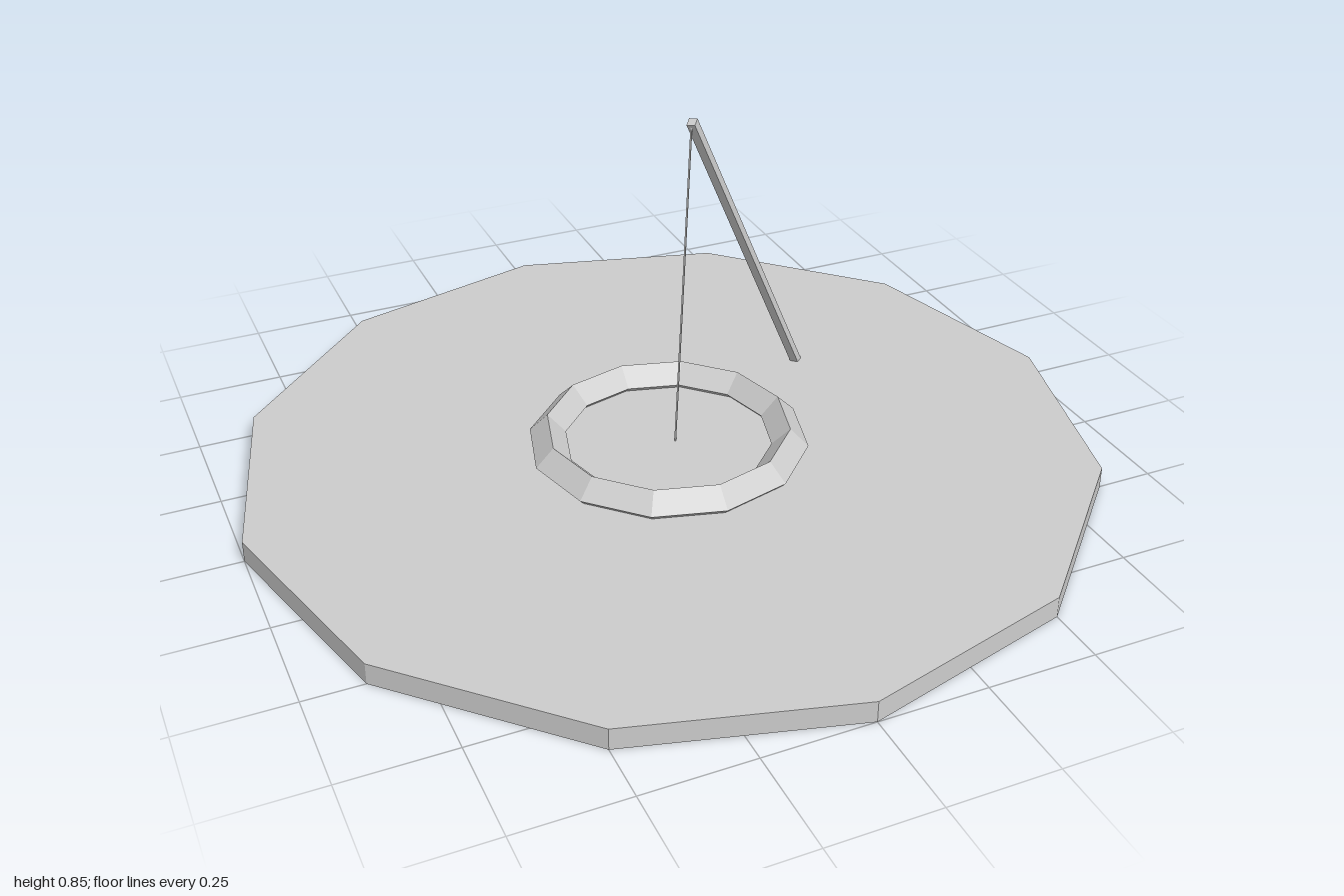
import * as THREE from 'three';

export function createModel() {
  const model = new THREE.Group();
  const grey = new THREE.MeshStandardMaterial({ color: 0xcccccc, flatShading: true });
  grey.name = 'light grey';

  const add = (name, geometry) => {
    const mesh = new THREE.Mesh(geometry, grey);
    mesh.name = name;
    model.add(mesh);
    return mesh;
  };

  // Straight bar between two points
  const bar = (name, from, to, radius, sides) => {
    const dir = to.clone().sub(from);
    const mesh = add(name, new THREE.CylinderGeometry(radius, radius, dir.length(), sides));
    mesh.position.copy(from).add(to).multiplyScalar(0.5);
    mesh.quaternion.setFromUnitVectors(new THREE.Vector3(0, 1, 0), dir.normalize());
    return mesh;
  };

  // Twelve-sided flat base
  add('base', new THREE.CylinderGeometry(1, 1, 0.05, 12)).position.y = 0.025;

  // Faceted ring sunk slightly into the base
  const ring = add('ring', new THREE.TorusGeometry(0.285, 0.043, 4, 12));
  ring.rotation.x = -Math.PI / 2;
  ring.position.y = 0.063;

  // Leaning pole and the line hanging from its tip
  bar('pole', new THREE.Vector3(0.457, 0.04, -0.232), new THREE.Vector3(0.057, 0.848, -0.002), 0.014, 4);
  bar('line', new THREE.Vector3(0.018, 0.045, 0), new THREE.Vector3(0.055, 0.842, 0), 0.0025, 4);

  return model;
}
